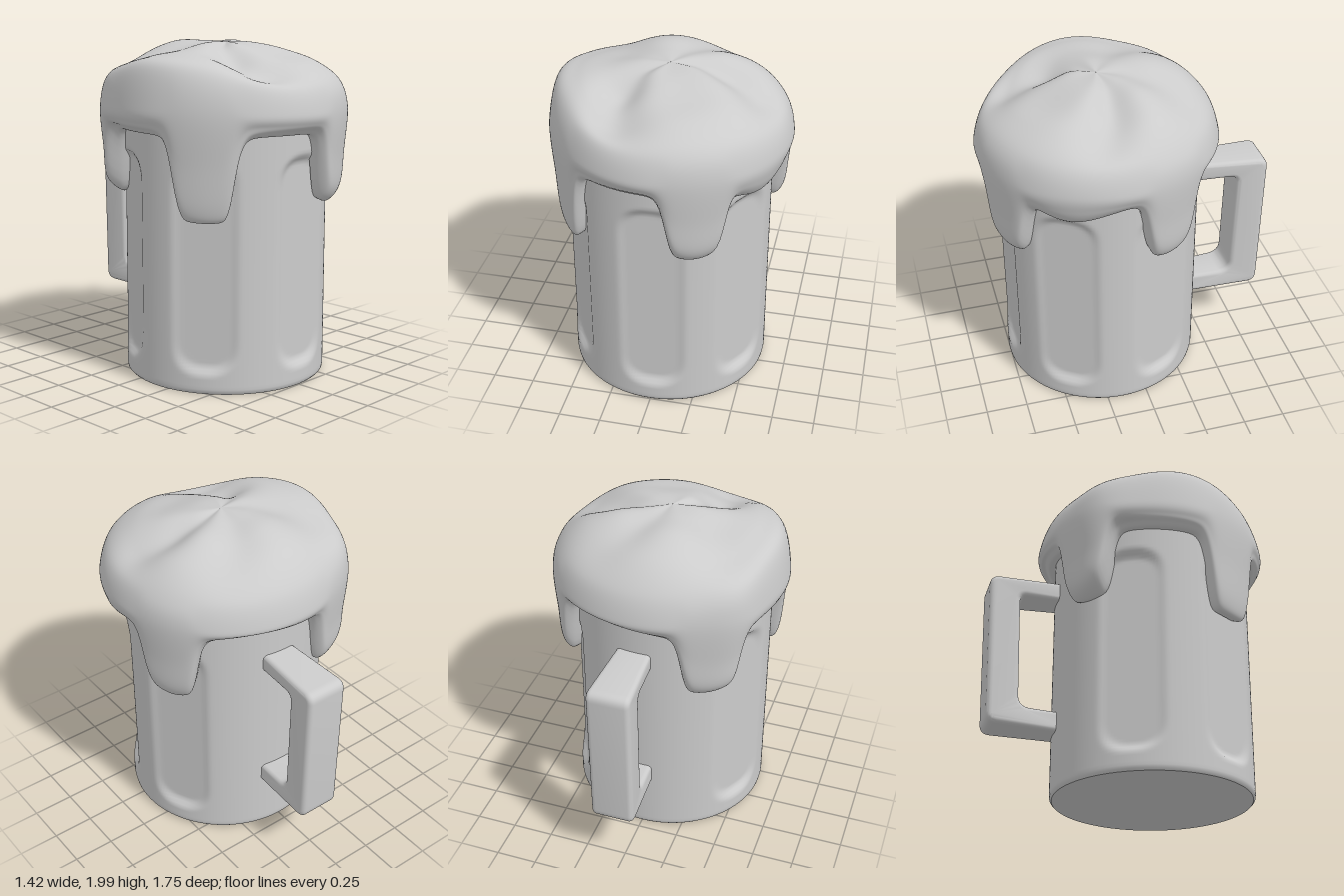
import * as THREE from 'three';
import { toCreasedNormals } from 'three/addons/utils/BufferGeometryUtils.js';

const CENTER_Z = 0.153;
const rad = THREE.MathUtils.degToRad;
const mix = THREE.MathUtils.lerp;
const smooth = THREE.MathUtils.smoothstep;

// signed difference in degrees between two headings (0 = front, 90 = +x)
const diff = (a, b) => ((a - b + 540) % 360 + 360) % 360 - 180;
const bump = (a, at, width) => Math.exp(-((diff(a, at) / width) ** 2));

// closed surface of rings, listed from top to bottom; point(row, degrees) gives [radius, y]
function ringSurface(rows, cols, point) {
  const pos = [], index = [];
  for (let i = 0; i <= rows; i++) {
    for (let j = 0; j < cols; j++) {
      const deg = j / cols * 360;
      const [r, y] = point(i, deg);
      pos.push(r * Math.sin(rad(deg)), y, r * Math.cos(rad(deg)));
      if (i === rows) continue;
      const k = (j + 1) % cols;
      const a = i * cols + j, b = a + cols, c = i * cols + k, d = c + cols;
      index.push(a, b, c, c, b, d);
    }
  }
  const geo = new THREE.BufferGeometry();
  geo.setAttribute('position', new THREE.Float32BufferAttribute(pos, 3));
  geo.setIndex(index);
  geo.computeVertexNormals();
  return geo;
}

// glass wall with five flat, round-ended recessed panels
const PANELS = [2, 58, 116, 242, 302];
function wallRadius(y, deg) {
  let r = 0.604;
  for (const p of PANELS) {
    const d = diff(deg, p);
    if (Math.abs(d) > 24) continue;
    const across = Math.abs(d) / 15.5;
    const along = Math.max(0, Math.abs(y - 0.74) - 0.42) / 0.16;
    const e = Math.pow(across ** 2.6 + along ** 2.6, 1 / 2.6);
    r = mix(r, 0.565 / Math.cos(rad(d)), 1 - smooth(e, 0.97, 1.35));
  }
  return r;
}

function makeGlass() {
  const wallRows = 84, top = 1.62;
  const base = [[0.604, 0.03], [0.601, 0.012], [0.59, 0], [0.3, 0], [0.001, 0]];
  const geo = ringSurface(wallRows + base.length, 216, (i, deg) => {
    if (i > wallRows) return base[i - wallRows - 1];
    const y = mix(top, 0.05, i / wallRows);
    return [wallRadius(y, deg), y];
  });
  return toCreasedNormals(geo, 0.7);
}

// drips: heading, half width in degrees, lowest point, roundness of the tip
const DRIPS = [[24, 15, 1.07, 0.13], [116, 15, 1.07, 0.13], [217, 15, 1.08, 0.12], [302, 16, 1.01, 0.04]];
// creases on the swirled top: heading, width, depth, swirl
const CREASES = [[90, 20, 0.07, -40], [322, 22, 0.075, 80], [155, 24, 0.04, -40], [238, 26, 0.035, -30]];

function foamEdge(deg) {
  let y = 1.49 - 0.09 * bump(deg, 62, 22) + 0.05 * bump(deg, 160, 25);
  let drip = 0;
  for (const [at, width, low, round] of DRIPS) {
    const u = Math.abs(diff(deg, at)) / width;
    const f = 1 / (1 + Math.pow(u, 9));
    y = mix(y, low, f * Math.max(0, 1 - round * u * u));
    drip = Math.max(drip, f);
  }
  return [y, drip];
}

function foamProfile(deg) {
  const [b, drip] = foamEdge(deg);
  const R = 0.712 + 0.04 * bump(deg, 229, 15) - 0.02 * bump(deg, 310, 30)
    + 0.012 * bump(deg, 45, 28) + 0.008 * bump(deg, 0, 20);
  const left = bump(deg, 272, 45), front = bump(deg, 10, 60);
  const dip = (r, amount) => CREASES.reduce((sum, [at, w, depth, swirl]) =>
    sum + depth * amount * bump(deg, at + swirl * (r - 0.35), w), 0);
  return new THREE.SplineCurve([
    [0.002, 1.985],
    [0.16, 1.992 - 0.025 * front - dip(0.16, 0.45)],
    [0.34, 1.99 - 0.08 * front - 0.025 * left - dip(0.34, 1.25)],
    [0.52, 1.915 - 0.05 * front + 0.02 * left - dip(0.52, 1.2)],
    [R - 0.055, 1.77 + 0.1 * left - dip(0.64, 0.3)],
    [R, 1.61 + 0.02 * left],
    [R - 0.015, mix(1.6, b, 0.5)],
    [mix(0.67, R - 0.03, drip), b + 0.025 + 0.055 * drip],
    [0.635, b],
    [0.58, b + 0.012],
  ].map(([r, y]) => new THREE.Vector2(r, y)));
}

function makeFoam() {
  const rows = 72, cache = new Map();
  return ringSurface(rows, 300, (i, deg) => {
    if (!cache.has(deg)) cache.set(deg, foamProfile(deg));
    const p = cache.get(deg).getPoint(i / rows);
    return [Math.max(0.002, p.x), p.y];
  });
}

// square C-shaped handle, drawn as distance behind the mug and height
function makeHandle() {
  const corners = [
    [0.38, 0.36, 0], [0.862, 0.375, 0.06], [0.88, 1.32, 0.06], [0.38, 1.335, 0],
    [0.38, 1.22, 0], [0.69, 1.215, 0.04], [0.675, 0.495, 0.07], [0.38, 0.485, 0],
  ].map(([x, y, r]) => ({ p: new THREE.Vector2(x, y), r }));
  const shape = new THREE.Shape();
  corners.forEach(({ p, r }, i) => {
    const prev = corners.at(i - 1).p, next = corners[(i + 1) % corners.length].p;
    const toward = (q) => p.clone().add(q.clone().sub(p).setLength(r));
    const a = r ? toward(prev) : p, c = r ? toward(next) : p;
    if (i === 0) shape.moveTo(a.x, a.y); else shape.lineTo(a.x, a.y);
    if (r) shape.quadraticCurveTo(p.x, p.y, c.x, c.y);
  });
  shape.closePath();
  const bevel = 0.03;
  const geo = new THREE.ExtrudeGeometry(shape, {
    depth: 1 - 2 * bevel, bevelThickness: bevel, bevelSize: bevel, bevelOffset: -bevel,
    bevelSegments: 5, curveSegments: 8,
  });
  geo.translate(0, 0, bevel - 0.5);
  geo.rotateY(Math.PI / 2);
  // set the width, a little broader towards the grip, keeping the bevel round
  const pos = geo.attributes.position;
  for (let i = 0; i < pos.count; i++) {
    const x = pos.getX(i), z = pos.getZ(i);
    const half = mix(0.105, 0.13, smooth(-z, 0.45, 0.85));
    pos.setX(i, 0.037 + Math.sign(x) * (half - (0.5 - Math.abs(x))));
  }
  return toCreasedNormals(geo, 0.6);
}

export function createModel() {
  const model = new THREE.Group();
  model.name = 'foamingMug';
  const grey = new THREE.MeshStandardMaterial({ color: 0xcccccc, side: THREE.DoubleSide });
  const add = (name, geo, x, z) => {
    const mesh = new THREE.Mesh(geo, grey);
    mesh.name = name;
    mesh.position.set(x, 0, z);
    model.add(mesh);
  };
  add('glassBody', makeGlass(), -0.005, CENTER_Z);
  add('foamTop', makeFoam(), 0, CENTER_Z);
  add('handle', makeHandle(), 0, 0);
  return model;
}
